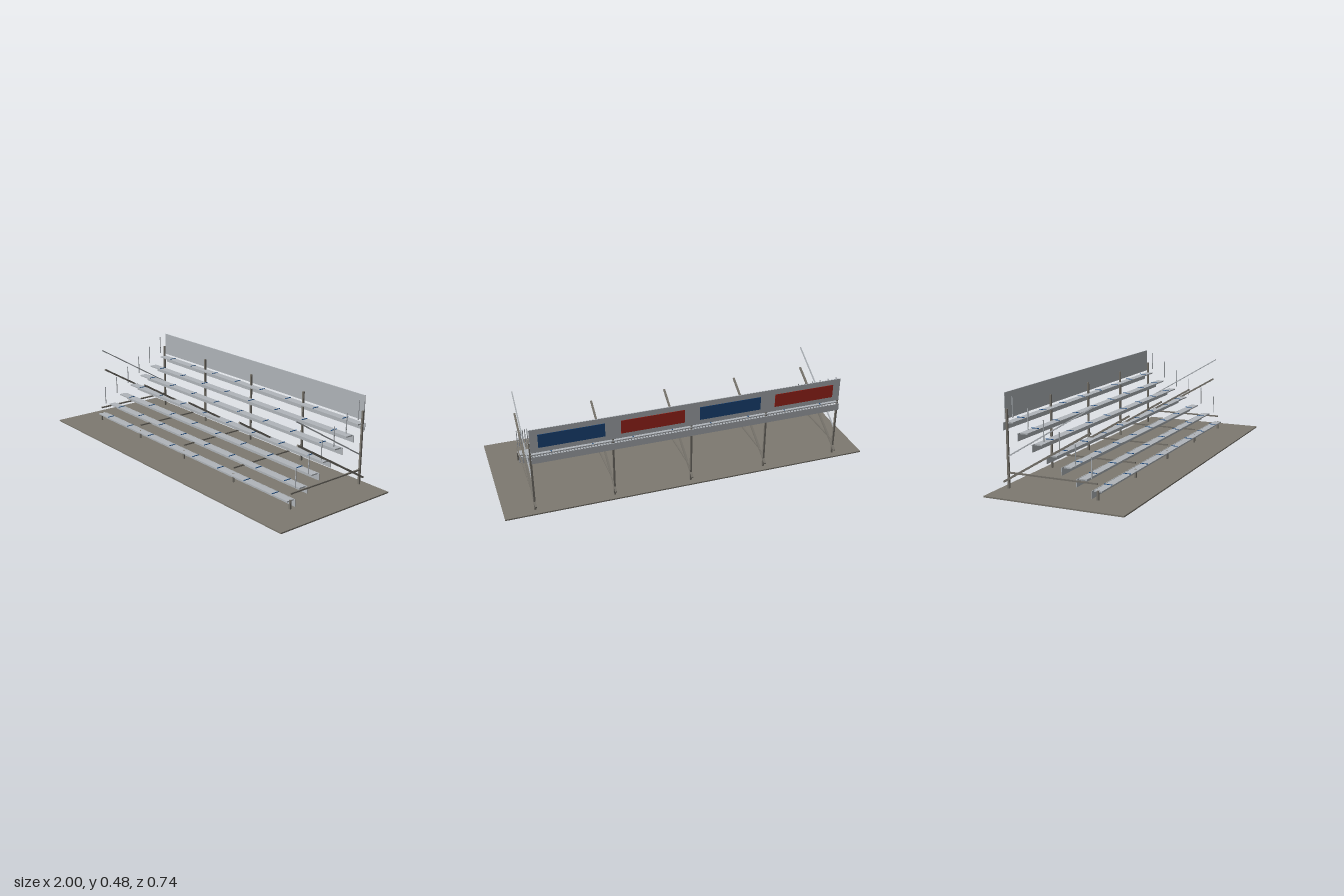
import * as THREE from 'three';

const mat = (name, color) => {
  const m = new THREE.MeshStandardMaterial({ color });
  m.name = name;
  return m;
};

export function createModel() {
  const ground = mat('concrete', 0x7d7970);
  const steel = mat('steel', 0x7a766e);
  const alu = mat('aluminium', 0xb0b5ba);
  const blue = mat('blue', 0x1c4a80);
  const red = mat('red', 0xa8281e);
  const model = new THREE.Group();
  model.name = 'bleachers';

  // Box given by its extents along y and z, centred on x
  const box = (name, m, x, width, y0, y1, z0, z1, parent = model) => {
    const mesh = new THREE.Mesh(new THREE.BoxGeometry(width, y1 - y0, Math.abs(z1 - z0)), m);
    mesh.position.set(x, (y0 + y1) / 2, (z0 + z1) / 2);
    mesh.name = name;
    parent.add(mesh);
    return mesh;
  };
  // Square bar sloping in the yz plane between two points
  const bar = (name, m, x, size, yA, zA, yB, zB, parent = model) => {
    const dy = yA - yB, dz = zA - zB;
    const mesh = new THREE.Mesh(new THREE.BoxGeometry(size, size, Math.hypot(dy, dz)), m);
    mesh.position.set(x, (yA + yB) / 2, (zA + zB) / 2);
    mesh.rotation.x = -Math.atan2(dy, dz);
    mesh.name = name;
    parent.add(mesh);
  };

  const span = 1.68;
  box('basePad', ground, 0, 2, 0, 0.007, -0.368, 0.368);

  // Seven rows: seat plank, riser board and thin seat dividers
  for (let i = 0; i < 7; i++) {
    const row = new THREE.Group();
    row.name = 'row';
    row.position.set(0, 0.0475 * i, -0.079 * i);
    model.add(row);
    box('seatPlank', alu, 0, span, 0.046, 0.0525, 0.138, 0.18, row);
    box('riserBoard', alu, 0, span, 0.009, 0.047, 0.1235, 0.127, row);
    for (let k = 0; k < 8; k++)
      box('seatDivider', blue, (k - 3.5) * 0.21, 0.005, 0.0545, 0.057, 0.138, 0.18, row);
  }

  // Five support frames
  for (let i = -2; i <= 2; i++) {
    const frame = new THREE.Group();
    frame.name = 'supportFrame';
    frame.position.x = i * 0.42;
    model.add(frame);
    box('rearPost', steel, 0, 0.01, 0.007, 0.401, -0.332, -0.322, frame);
    box('frontLeg', steel, 0, 0.01, 0.007, 0.053, 0.154, 0.163, frame);
    box('crossBeam', steel, 0, 0.008, 0.082, 0.09, -0.327, 0.158, frame);
    bar('diagonalBrace', steel, 0, 0.01, 0.323, 0.123, 0.037, -0.355, frame);
  }

  // Side railings at both ends
  for (const side of [-1, 1]) {
    const x = side * 0.84;
    bar('handrail', alu, x, 0.006, 0.447, 0.139, 0.168, -0.325);
    for (let i = 0; i < 6; i++) {
      const y = 0.107 + 0.0507 * i, z = 0.127 - 0.0842 * i;
      box('railPost', alu, x, 0.004, y, y + 0.105, z - 0.002, z + 0.002);
    }
  }

  // Back wall with alternating coloured panels on the rear
  box('backWall', alu, 0, span, 0.35, 0.48, -0.34, -0.335);
  for (let i = 0; i < 4; i++)
    box('backPanel', i % 2 ? red : blue, 0.63 - 0.42 * i, 0.338, 0.376, 0.45, -0.342, -0.34);

  return model;
}
